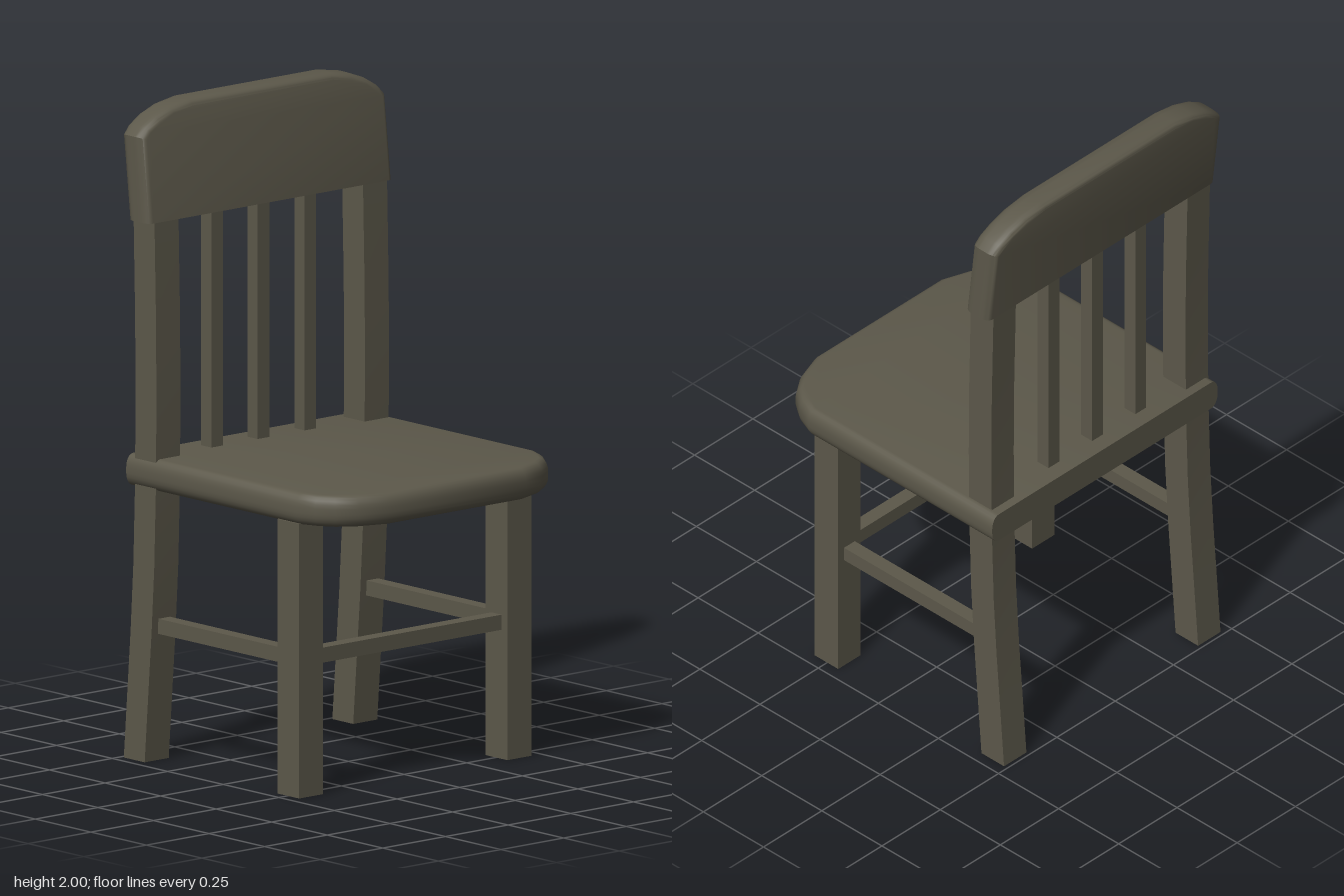
import * as THREE from 'three';
import { toCreasedNormals } from 'three/addons/utils/BufferGeometryUtils.js';

export function createModel() {
  const chair = new THREE.Group();
  chair.name = 'chair';
  const wood = new THREE.MeshStandardMaterial({ color: 0x5c584a });
  wood.name = 'dark olive wood';

  const add = (geometry, name) => {
    const mesh = new THREE.Mesh(geometry, wood);
    mesh.name = name;
    chair.add(mesh);
    return mesh;
  };
  // box given by its extents
  const box = (name, x0, x1, y0, y1, z0, z1) => {
    const mesh = add(new THREE.BoxGeometry(x1 - x0, y1 - y0, z1 - z0), name);
    mesh.position.set((x0 + x1) / 2, (y0 + y1) / 2, (z0 + z1) / 2);
  };
  const shapeOf = (points) => new THREE.Shape(points.map(([x, y]) => new THREE.Vector2(x, y)));
  // slab with rounded rim whose outline stays the given shape
  const roundedSlab = (points, depth, rim, round) => new THREE.ExtrudeGeometry(shapeOf(points), {
    depth: depth - 2 * round, bevelEnabled: true, bevelThickness: round,
    bevelSize: rim, bevelOffset: -rim, bevelSegments: 5,
  }).translate(0, 0, round);
  // moves every vertex by a rule, then smooths the gentle edges
  const reshape = (geometry, rule) => {
    const pos = geometry.attributes.position;
    const v = new THREE.Vector3();
    for (let i = 0; i < pos.count; i++) {
      rule(v.fromBufferAttribute(pos, i));
      pos.setXYZ(i, v.x, v.y, v.z);
    }
    return toCreasedNormals(geometry, 0.6);
  };

  // seat: rounded front and sides, cut flat at the back
  const seatSide = [[0.3, 0.483], [0.36, 0.46], [0.41, 0.425], [0.452, 0.365], [0.485, 0.27]];
  const seatOutline = [
    [-0.6, -0.483], ...seatSide.map(([x, z]) => [x, -z]),
    ...seatSide.slice().reverse(), [-0.6, 0.483],
  ];
  const seat = roundedSlab(seatOutline, 0.097, 0.027, 0.04).rotateX(-Math.PI / 2).translate(0, 0.834, -0.008);
  add(reshape(seat, (v) => { v.x = Math.max(v.x, -0.465); }), 'seat');

  // curved rear posts, which run from the floor up to the top rail
  const back = [[-0.487, 0], [-0.47, 0.22], [-0.456, 0.4], [-0.444, 0.6], [-0.437, 0.83], [-0.434, 1.1], [-0.436, 1.35], [-0.443, 1.66]];
  const postWidth = 0.094;
  const postOutline = [
    ...back.map(([x, y]) => [x + postWidth, y]),
    ...back.slice().reverse(),
  ];
  for (const [side, z] of [['left', 0.369], ['right', -0.462]]) {
    const post = new THREE.ExtrudeGeometry(shapeOf(postOutline), { depth: 0.096, bevelEnabled: false });
    post.translate(0, 0, z - (side === 'left' ? 0 : 0.001));
  // near-side legs and stretchers share the post's z
    const zMid = z + 0.048;
    add(toCreasedNormals(post, 0.6), side + 'RearPost');
    box(side + 'FrontLeg', 0.204, 0.302, 0, 0.838, z, z + 0.096);
    box(side + 'SideStretcher', -0.37, 0.21, 0.394, 0.44, zMid - 0.023, zMid + 0.023);
  }
  box('frontStretcher', 0.23, 0.276, 0.394, 0.44, -0.37, 0.375);

  // back slats
  [0.2, 0.015, -0.172].forEach((z, i) =>
    box('slat' + (i + 1), -0.412, -0.366, 0.92, 1.66, z - 0.023, z + 0.023));

  // top rail: arched shoulders, rounded rim, flat underside, leaning backwards
  const shoulder = [[0.49, 1.91], [0.465, 1.938], [0.42, 1.965], [0.36, 1.987], [0.28, 2]];
  const railOutline = [
    [-0.49, 1.55], [0.49, 1.55], ...shoulder,
    ...shoulder.slice().reverse().map(([z, y]) => [-z, y]),
  ];
  const rail = roundedSlab(railOutline, 0.096, 0.02, 0.032).rotateY(Math.PI / 2).translate(-0.444, 0, 0);
  add(reshape(rail, (v) => {
    v.y = Math.max(v.y, 1.652);
    v.x -= 0.04 * (v.y - 1.652) / 0.348;
  }), 'topRail');

  return chair;
}
